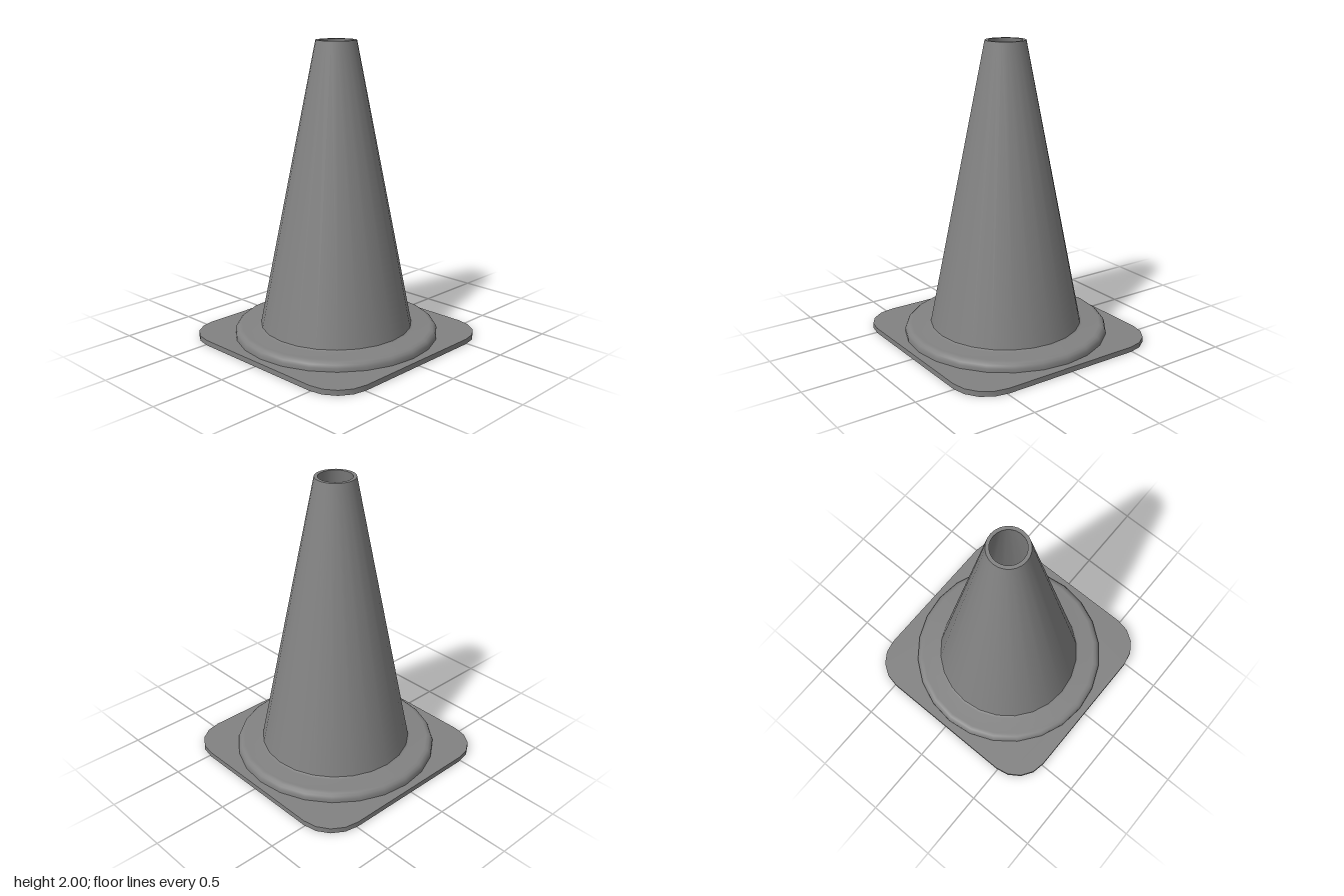
import * as THREE from 'three';
import { toCreasedNormals } from 'three/addons/utils/BufferGeometryUtils.js';

const SIDES = 24;
const PLATE_HALF = 0.732, CORNER = 0.243, PLATE_TOP = 0.035;
const OPENING = 0.635;

export function createModel() {
  const group = new THREE.Group();
  const material = new THREE.MeshStandardMaterial({ color: 0x828282 });

  const add = (name, geometry) => {
    const mesh = new THREE.Mesh(geometry, material);
    mesh.name = name;
    group.add(mesh);
  };
  // Each band is its own lathe, so the edges between bands stay sharp
  const addBand = (name, profile) =>
    add(name, new THREE.LatheGeometry(profile.map(([r, y]) => new THREE.Vector2(r, y)), SIDES));

  // Square base plate with four-sided rounded corners and a round opening
  const c = PLATE_HALF - CORNER;
  const outline = new THREE.Shape();
  [[c, c], [-c, c], [-c, -c], [c, -c]].forEach(([x, y], i) =>
    outline.absarc(x, y, CORNER, i * Math.PI / 2, (i + 1) * Math.PI / 2, false));
  const rim = [];
  for (let i = 0; i < SIDES; i++) {
    const a = -i / SIDES * Math.PI * 2;
    rim.push(new THREE.Vector2(OPENING * Math.cos(a), OPENING * Math.sin(a)));
  }
  outline.holes.push(new THREE.Path(rim));
  const plate = new THREE.ExtrudeGeometry(outline, {
    depth: PLATE_TOP, bevelEnabled: false, curveSegments: 2,
  });
  plate.rotateX(-Math.PI / 2);
  add('basePlate', toCreasedNormals(plate, Math.PI / 6));

  // Raised round collar with a soft outer edge
  addBand('collar', [
    [0.685, PLATE_TOP], [0.685, 0.058], [0.677, 0.077], [0.662, 0.09], [0.64, 0.096], [0.525, 0.096], [0.51, 0.105],
  ]);

  // Hollow cone: outer wall, top rim, inner wall
  addBand('coneOuterWall', [[0.51, 0.105], [0.133, 2]]);
  addBand('coneTopRim', [[0.133, 2], [0.11, 2]]);
  addBand('coneInnerWall', [[0.11, 2], [0.485, 0.075]]);

  // Hollow underside of the collar, sloping down to the plate's opening
  addBand('collarUnderside', [[0.485, 0.075], [0.56, 0.069], [0.605, 0.045], [OPENING - 0.001, 0]]);

  return group;
}
